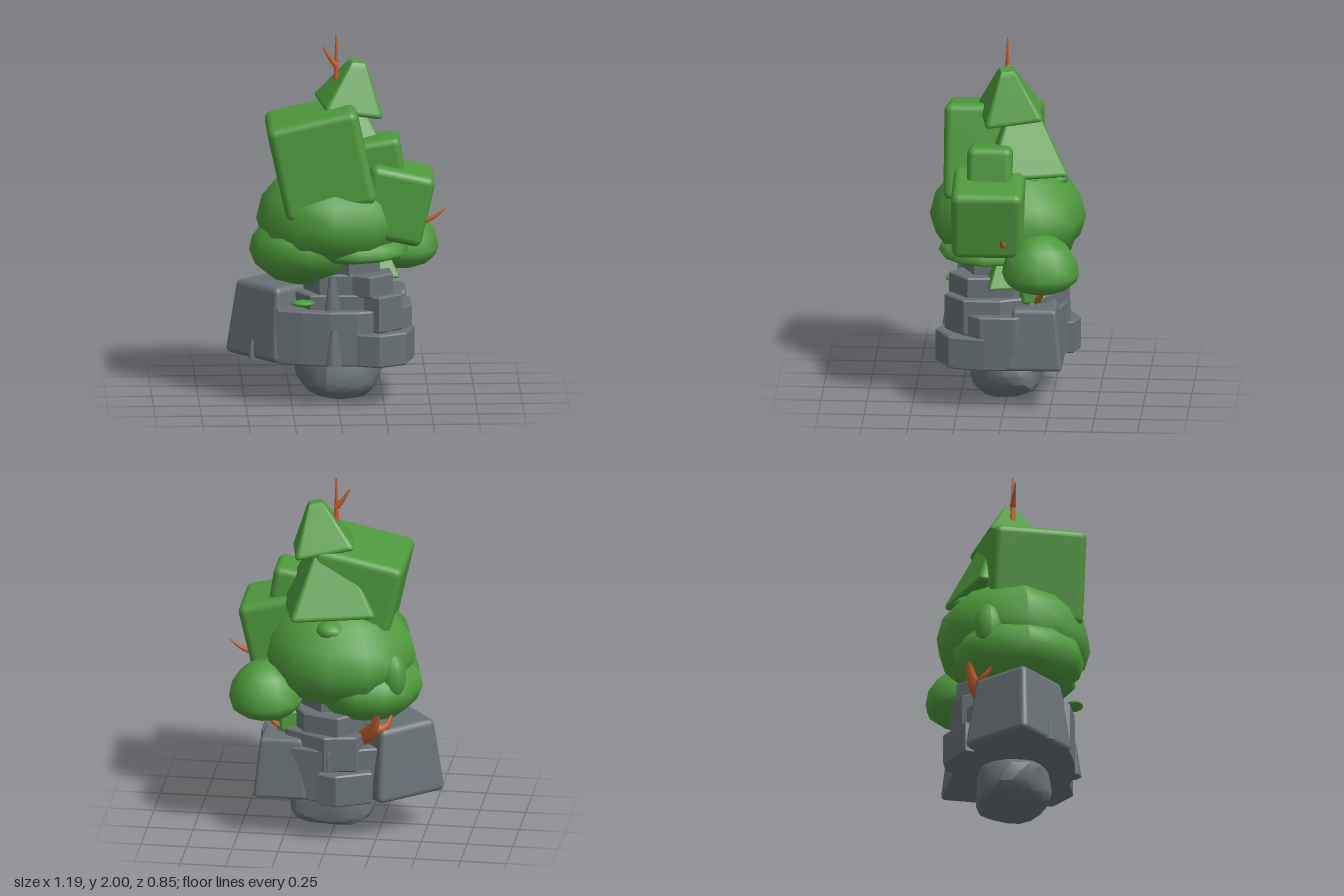
import * as THREE from 'three';
import { mergeVertices, toCreasedNormals } from 'three/addons/utils/BufferGeometryUtils.js';
import { RoundedBoxGeometry } from 'three/addons/geometries/RoundedBoxGeometry.js';

const leaf = new THREE.MeshStandardMaterial({ color: 0x4f9a3d, name: 'leaf green' });
const stone = new THREE.MeshStandardMaterial({ color: 0x687176, name: 'stone grey' });
const wood = new THREE.MeshStandardMaterial({ color: 0xc8622f, name: 'bark orange' });
const deg = Math.PI / 180;

export function createModel() {
  const model = new THREE.Group();
  model.name = 'treeOnRock';

  const add = (name, geometry, material, pos = [0, 0, 0], rot = [0, 0, 0]) => {
    const mesh = new THREE.Mesh(geometry, material);
    mesh.name = name;
    mesh.position.set(...pos);
    mesh.rotation.set(...rot.map((a) => a * deg));
    model.add(mesh);
  };

  // Soft-edged block, narrowed towards its top by the factor taper
  const block = (w, h, d, radius, taper = 1) => {
    const g = new RoundedBoxGeometry(w, h, d, 3, radius);
    const p = g.attributes.position;
    for (let i = 0; i < p.count; i++) {
      const s = THREE.MathUtils.lerp(1, taper, p.getY(i) / h + 0.5);
      p.setX(i, p.getX(i) * s);
      p.setZ(i, p.getZ(i) * s);
    }
    g.deleteAttribute('normal');
    g.deleteAttribute('uv');
    const merged = mergeVertices(g, 1e-5);
    merged.computeVertexNormals();
    return merged;
  };

  // Faceted foliage ball; the lower half can be flatter than the upper
  const ball = (rx, up, rz, down = up) => {
    const g = new THREE.SphereGeometry(1, 12, 8);
    const p = g.attributes.position;
    for (let i = 0; i < p.count; i++) {
      const y = p.getY(i);
      p.setXYZ(i, p.getX(i) * rx, y * (y > 0 ? up : down), p.getZ(i) * rz);
    }
    g.computeVertexNormals();
    return g;
  };

  // Upright stone slab from an outline of [x, z] corners
  const slab = (name, outline, y0, y1) => {
    const b = 0.008;
    const shape = new THREE.Shape(outline.map(([x, z]) => new THREE.Vector2(x, -z)));
    const g = new THREE.ExtrudeGeometry(shape, {
      depth: y1 - y0 - 2 * b, bevelEnabled: true, bevelThickness: b,
      bevelSize: b, bevelOffset: -b, bevelSegments: 1,
    });
    g.rotateX(-Math.PI / 2);
    add(name, g, stone, [0, y0 + b, 0]);
  };

  // Tapered twig through points
  const twig = (name, points, r0, r1 = 0.003) => {
    const curve = new THREE.CatmullRomCurve3(points.map((q) => new THREE.Vector3(...q)));
    const rings = 8, sides = 7;
    const g = new THREE.TubeGeometry(curve, rings, 1, sides);
    const p = g.attributes.position;
    const v = new THREE.Vector3();
    for (let i = 0; i < p.count; i++) {
      const t = Math.floor(i / (sides + 1)) / rings;
      const c = curve.getPointAt(t);
      v.fromBufferAttribute(p, i).sub(c).multiplyScalar(r0 + (r1 - r0) * t).add(c);
      p.setXYZ(i, v.x, v.y, v.z);
    }
    add(name, g, wood);
  };

  // Lumpy boulder at the bottom, squarer than a ball
  const boulder = new THREE.IcosahedronGeometry(1, 3);
  const bp = boulder.attributes.position;
  const swell = (a) => Math.sign(a) * Math.pow(Math.abs(a), 0.8);
  for (let i = 0; i < bp.count; i++) {
    const x = bp.getX(i), y = bp.getY(i), z = bp.getZ(i);
    const s = 1 + 0.04 * Math.sin(5 * x + 3 * z) + 0.04 * Math.sin(5 * y - 4 * z + 1);
    bp.setXYZ(i, swell(x) * s * 0.23, Math.max(swell(y) * s * 0.155, -0.15), swell(z) * s * 0.2);
  }
  add('baseBoulder', toCreasedNormals(boulder, 0.4), stone, [0.02, 0.15, 0]);

  // Stepped stone tower
  slab('towerCore', [[-0.35, 0.05], [-0.33, 0.25], [-0.2, 0.3], [-0.05, 0.335], [0.1, 0.335], [0.28, 0.28],
    [0.405, 0.13], [0.405, -0.06], [0.25, -0.28], [0, -0.34], [-0.26, -0.25]], 0.23, 0.53);
  slab('frontFootStone', [[0.1, 0.27], [0.1, 0.34], [0.22, 0.378], [0.37, 0.3], [0.42, 0.1], [0.2, 0.1]], 0.23, 0.41);
  slab('backFootStone', [[0.06, -0.2], [0.05, -0.36], [-0.05, -0.395], [-0.24, -0.31], [-0.2, -0.15]], 0.23, 0.41);
  slab('towerMiddle', [[-0.24, 0.1], [-0.15, 0.26], [0.14, 0.27], [0.22, 0.33], [0.35, 0.22],
    [0.35, 0.02], [0.24, -0.22], [0.02, -0.34], [-0.15, -0.31], [-0.22, -0.15]], 0.41, 0.61);
  slab('towerUpper', [[-0.18, 0.08], [-0.1, 0.24], [0.08, 0.25], [0.17, 0.31], [0.3, 0.2],
    [0.28, -0.05], [0.14, -0.26], [-0.05, -0.32], [-0.18, -0.2]], 0.6, 0.72);
  slab('towerTop', [[-0.12, 0.1], [0.06, 0.25], [0.23, 0.17], [0.22, -0.08], [0.05, -0.24], [-0.12, -0.18]], 0.7, 0.79);

  // Tapered boulders leaning on the tower
  add('rightBoulder', block(0.43, 0.41, 0.43, 0.035, 0.78), stone, [-0.31, 0.435, -0.03], [0, 40, 0]);
  add('leftBoulder', block(0.3, 0.34, 0.31, 0.025, 0.76), stone, [0.265, 0.4, -0.165]);

  // Small stone spikes
  const spike = (r, h, pos) => add('stoneSpike', new THREE.CylinderGeometry(r * 0.4, r, h, 6), stone, pos);
  spike(0.05, 0.2, [-0.025, 0.335, 0.325]);
  spike(0.05, 0.19, [-0.03, 0.62, 0.25]);
  spike(0.03, 0.06, [0.28, 0.59, -0.14]);
  spike(0.025, 0.1, [-0.46, 0.285, 0.11]);

  // Round foliage
  add('mainCanopy', ball(0.415, 0.33, 0.425, 0.28), leaf, [-0.02, 0.99, 0]);
  add('lowerCanopy', ball(0.32, 0.2, 0.365, 0.215), leaf, [-0.155, 0.845, 0], [0, 0, 6]);
  add('lowShelf', ball(0.28, 0.11, 0.27, 0.055), leaf, [0.11, 0.83, 0.1]);
  add('sideBall', ball(0.2, 0.215, 0.21, 0.11), leaf, [0.36, 0.775, -0.2]);
  add('backBump', ball(0.07, 0.13, 0.08), leaf, [-0.34, 0.94, -0.2]);
  add('backBumpSmall', ball(0.08, 0.05, 0.08), leaf, [0, 1.21, -0.25]);
  add('looseLeaf', ball(0.065, 0.018, 0.05), leaf, [-0.19, 0.577, 0.3]);

  // Square foliage
  add('bigCube', block(0.5, 0.53, 0.52, 0.045), leaf, [-0.09, 1.337, 0.08], [0, 0, 12.5]);
  add('sideCube', block(0.36, 0.395, 0.39, 0.045), leaf, [0.315, 1.1, 0.085], [0, 0, -13]);
  add('smallCube', block(0.23, 0.24, 0.245, 0.04), leaf, [0.242, 1.335, 0.08], [0, 0, 9]);
  add('tinyCube', block(0.1, 0.12, 0.12, 0.02), leaf, [0.25, 0.64, -0.14], [0, 20, 0]);

  // Pyramid foliage
  add('topPyramid', block(0.345, 0.27, 0.335, 0.03, 0.22), leaf, [0.09, 1.722, -0.01], [6, 10, -11]);
  add('middlePyramid', block(0.48, 0.42, 0.46, 0.03, 0.2), leaf, [0.035, 1.48, -0.07], [0, 15, 0]);
  add('lowPyramid', block(0.18, 0.17, 0.18, 0.015, 0.2), leaf, [0.24, 0.75, 0.02], [0, 15, 0]);

  // Trunk and twigs
  twig('trunk', [[0, 0.7, 0], [0, 1.4, 0], [0, 2, 0]], 0.065, 0.004);
  twig('topFork', [[0, 1.83, 0], [-0.04, 1.88, 0], [-0.075, 1.94, 0]], 0.018);
  twig('sideTwig', [[0.3, 0.93, 0], [0.48, 0.965, 0], [0.53, 0.985, 0], [0.59, 1.03, 0]], 0.036);
  twig('lowTwig', [[0.22, 0.57, -0.13], [0.3, 0.62, -0.19], [0.35, 0.68, -0.23]], 0.032);
  twig('backTwig', [[-0.18, 0.58, -0.2], [-0.23, 0.64, -0.26], [-0.27, 0.75, -0.3]], 0.05, 0.015);
  twig('backTwigFork', [[-0.22, 0.63, -0.24], [-0.3, 0.65, -0.22], [-0.33, 0.71, -0.18]], 0.036, 0.006);

  return model;
}
